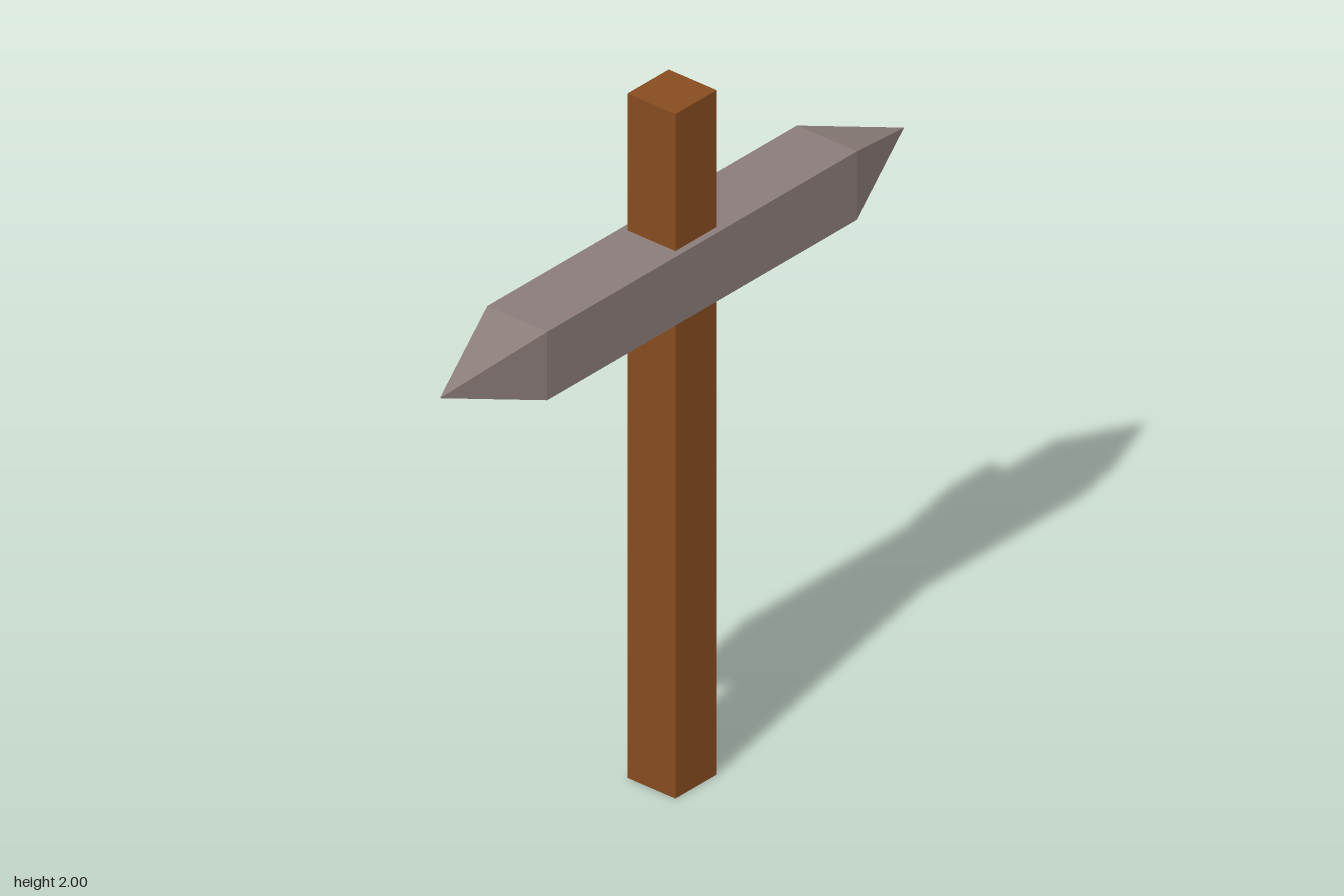
import * as THREE from 'three';

export function createModel() {
  const model = new THREE.Group();
  const wood = new THREE.MeshStandardMaterial({ color: 0x864c20 });
  wood.name = 'brown wood';
  const stone = new THREE.MeshStandardMaterial({ color: 0x8a7c79 });
  stone.name = 'grey stone';
  wood.flatShading = stone.flatShading = true;

  const add = (parent, name, geometry, material, x, y) => {
    const mesh = new THREE.Mesh(geometry, material);
    mesh.name = name;
    mesh.position.set(x, y, 0);
    parent.add(mesh);
  };

  // Square upright handle
  add(model, 'handle', new THREE.BoxGeometry(0.16, 2, 0.16), wood, 0, 1);

  // Crosswise head: square bar with a four-sided point at each end
  const head = new THREE.Group();
  head.name = 'head';
  head.position.y = 1.5;
  model.add(head);
  add(head, 'headBar', new THREE.BoxGeometry(1.2, 0.2, 0.2), stone, 0, 0);
  for (const side of [1, -1]) {
    const point = new THREE.ConeGeometry(0.1 * Math.SQRT2, 0.3, 4, 1, true, Math.PI / 4);
    point.rotateZ(-side * Math.PI / 2);
    add(head, side > 0 ? 'leftPoint' : 'rightPoint', point, stone, side * 0.75, 0);
  }
  return model;
}
